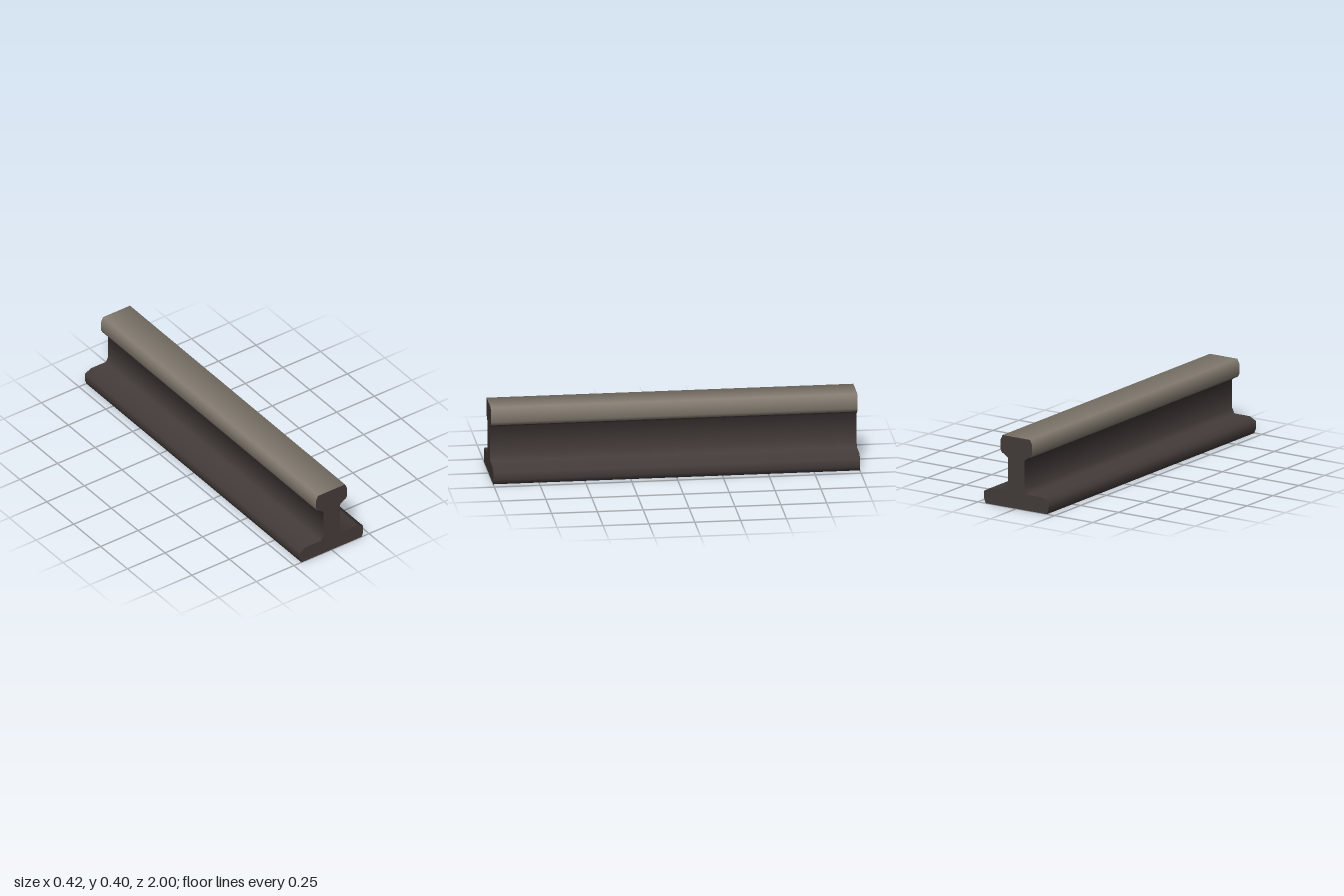
import * as THREE from 'three';

const HALF_LENGTH = 1;

// Right half of the rail section, from the base up to the running surface
const half = [
  [0.2, 0], [0.21, 0.025], [0.21, 0.07], [0.17, 0.09],
  [0.07, 0.09], [0.055, 0.12], [0.055, 0.278],
  [0.085, 0.3], [0.093, 0.3], [0.104, 0.32], [0.104, 0.37], [0.09, 0.4],
];
const HEAD_START = 7;

// Closed section, counter-clockwise
const section = [...half, ...half.slice().reverse().map(([x, y]) => [-x, y])]
  .map(([x, y]) => new THREE.Vector2(x, y));
const at = (i) => section[(i + section.length) % section.length];

// Outward normal of the edge from point i to the next
function edgeNormal(i) {
  const d = at(i + 1).clone().sub(at(i)).normalize();
  return new THREE.Vector2(d.y, -d.x);
}

// Smooth surface swept along z over section points first to last
function sweep(first, last) {
  const positions = [], normals = [], index = [];
  for (let i = first; i <= last; i++) {
    const p = at(i);
    const n = edgeNormal(i - 1).add(edgeNormal(i)).normalize();
    for (const z of [HALF_LENGTH, -HALF_LENGTH]) {
      positions.push(p.x, p.y, z);
      normals.push(n.x, n.y, 0);
    }
    if (i < last) {
      const a = (i - first) * 2;
      index.push(a, a + 1, a + 3, a, a + 3, a + 2);
    }
  }
  const geometry = new THREE.BufferGeometry();
  geometry.setAttribute('position', new THREE.Float32BufferAttribute(positions, 3));
  geometry.setAttribute('normal', new THREE.Float32BufferAttribute(normals, 3));
  geometry.setIndex(index);
  return geometry;
}

export function createModel() {
  const darkSteel = new THREE.MeshStandardMaterial({ color: 0x433b39 });
  darkSteel.name = 'dark steel';
  const wornSteel = new THREE.MeshStandardMaterial({ color: 0x827a6f });
  wornSteel.name = 'worn steel';

  const rail = new THREE.Group();
  rail.name = 'rail';
  const add = (name, geometry, material) => {
    const mesh = new THREE.Mesh(geometry, material);
    mesh.name = name;
    rail.add(mesh);
    return mesh;
  };

  // Worn head, then the web and foot around the rest of the section
  const n = section.length;
  const headEnd = n - 1 - HEAD_START;
  add('head', sweep(HEAD_START, headEnd), wornSteel);
  add('webAndFoot', sweep(headEnd, n + HEAD_START), darkSteel);

  // Flat cut ends
  const endGeometry = new THREE.ShapeGeometry(new THREE.Shape(section));
  add('frontEnd', endGeometry, darkSteel).position.z = HALF_LENGTH;
  const back = add('backEnd', endGeometry, darkSteel);
  back.position.z = -HALF_LENGTH;
  back.rotation.y = Math.PI;

  return rail;
}
